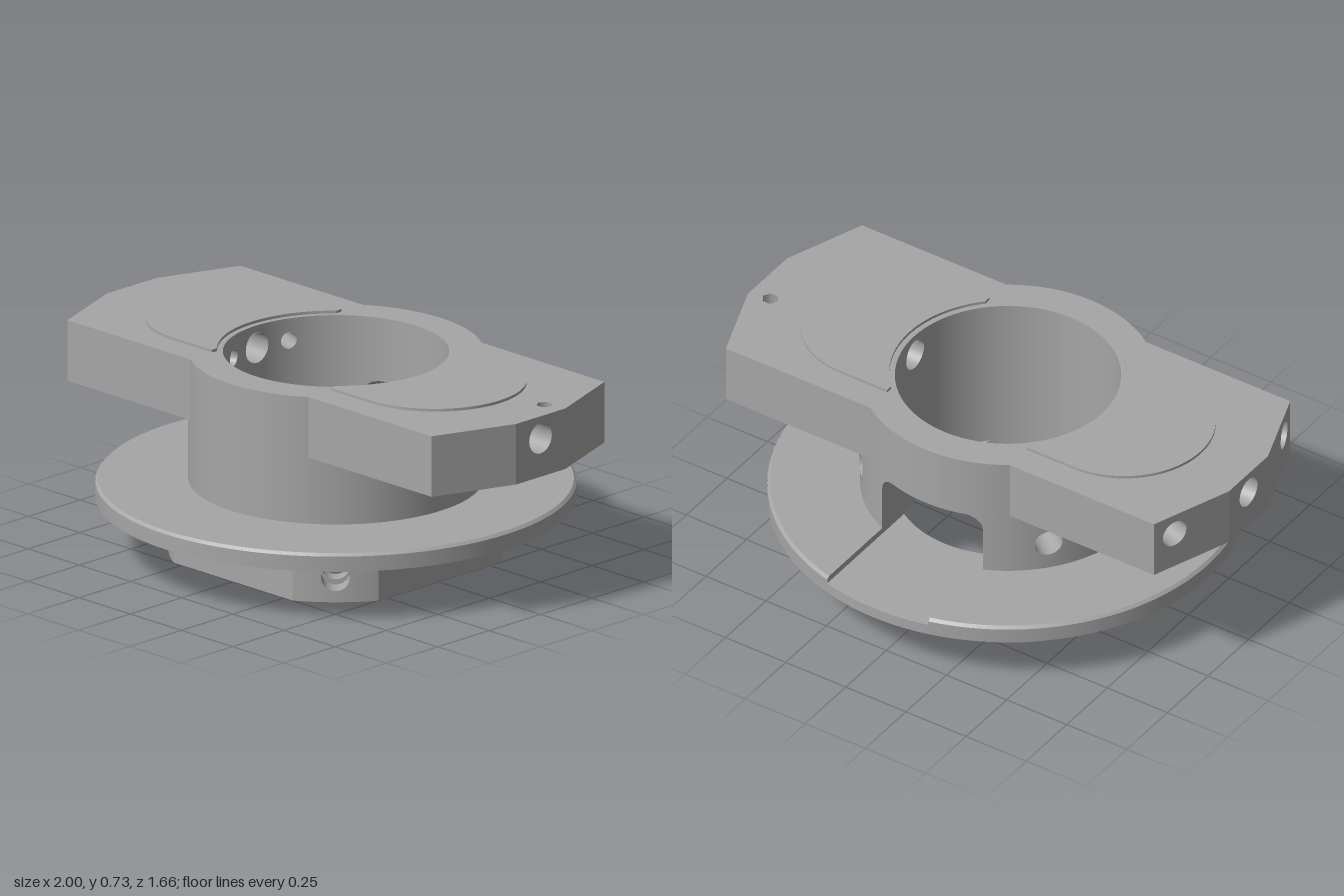
import * as THREE from 'three';

const PI = Math.PI, BACK = 1.5 * PI;
const BORE = 0.39, BODY = 0.51, RIM = 0.83, BASE = 0.578;
const SLOT = 0.21, SLOT_FLOOR = 0.235, SLOT_TOP = 0.49, FILLET = 0.06;
const PLATE_Y = 0.5, TOP_Y = 0.72, FLANGE_Y = 0.195, BODY_Y = 0.26;

const grey = new THREE.MeshStandardMaterial({ color: 0xa6a6a6, side: THREE.DoubleSide });
grey.name = 'machined grey';

// Points are (x, z); angles run from +x towards +z.
const V = (x, z) => new THREE.Vector2(x, z);
const arc = (r, a0, a1, n = 48, cx = 0) => Array.from({ length: n + 1 }, (_, i) => {
  const a = a0 + (a1 - a0) * i / n;
  return V(cx + r * Math.cos(a), r * Math.sin(a));
});
const ring = (r, n = 96) => arc(r, 0, 2 * PI, n).slice(0, -1);
const halfSlot = r => Math.asin(SLOT / r);

function add(group, name, geometry) {
  const mesh = new THREE.Mesh(geometry, grey);
  mesh.name = name;
  group.add(mesh);
  return mesh;
}

// Horizontal face, looking up or down
function face(points, holes, y, up) {
  const shape = new THREE.Shape(points);
  holes.forEach(h => shape.holes.push(new THREE.Path(h)));
  const g = new THREE.ShapeGeometry(shape).rotateX(PI / 2).translate(0, y, 0);
  if (up) {
    g.index.array.reverse();
    g.computeVertexNormals();
  }
  return g;
}

// Paths for upright walls: u -> [x, z, normal x, normal z]
const round = (r, side = 1) => u => {
  const c = Math.cos(u / r), s = Math.sin(u / r);
  return [r * c, r * s, side * c, side * s];
};
const straight = (p, q) => {
  const d = q.clone().sub(p).normalize();
  return u => [p.x + d.x * u, p.y + d.y * u, -d.y, d.x];
};

// Openings in walls
const drill = (u, y, r) => {
  const h = v => Math.sqrt(Math.max(0, r * r - (v - u) ** 2));
  return { u, w: r, lo: v => y - h(v), hi: v => y + h(v) };
};
const drillAt = (R, angle, y, r) => drill(R * (angle < PI / 2 ? angle + 2 * PI : angle), y, r);
const slotRoof = x => SLOT_TOP - FILLET + Math.sqrt(Math.max(0, FILLET ** 2 - Math.max(0, Math.abs(x) - SLOT + FILLET) ** 2));
const slotAt = R => ({
  u: R * BACK, w: R * halfSlot(R), lo: () => SLOT_FLOOR, hi: u => slotRoof(R * Math.sin(u / R - BACK)),
});

// Upright wall along a path, cut into columns that stop at the openings
function wall(at, u0, u1, y0, y1, holes = [], step = 0.03) {
  const n = Math.ceil((u1 - u0) / step), cuts = [];
  for (let i = 0; i <= n; i++) cuts.push(u0 + (u1 - u0) * i / n);
  holes.forEach(h => { for (let k = 0; k <= 20; k++) cuts.push(h.u + h.w * Math.cos(PI * k / 20)); });
  cuts.sort((a, b) => a - b);
  const pos = [], nor = [];
  const clamp = y => Math.min(y1, Math.max(y0, y));
  for (let i = 0; i + 1 < cuts.length; i++) {
    const a = cuts[i], b = cuts[i + 1], m = (a + b) / 2;
    if (b - a < 1e-6) continue;
    const A = at(a), B = at(b);
    const outward = -(B[1] - A[1]) * A[2] + (B[0] - A[0]) * A[3] > 0;
    const quad = (low, high) => {
      if (high[0] - low[0] < 1e-6 && high[1] - low[1] < 1e-6) return;
      const c = [[A, low[0]], [B, low[1]], [B, high[1]], [A, high[0]]];
      for (const k of outward ? [0, 1, 2, 0, 2, 3] : [0, 2, 1, 0, 3, 2]) {
        const [p, y] = c[k];
        pos.push(p[0], y, p[1]);
        nor.push(p[2], 0, p[3]);
      }
    };
    let low = [y0, y0];
    holes.filter(h => Math.abs(m - h.u) < h.w).sort((p, q) => p.lo(m) - q.lo(m)).forEach(h => {
      quad(low, [clamp(h.lo(a)), clamp(h.lo(b))]);
      low = [clamp(h.hi(a)), clamp(h.hi(b))];
    });
    quad(low, [y1, y1]);
  }
  const g = new THREE.BufferGeometry();
  g.setAttribute('position', new THREE.Float32BufferAttribute(pos, 3));
  g.setAttribute('normal', new THREE.Float32BufferAttribute(nor, 3));
  return g;
}
const roundWall = (r, a0, a1, y0, y1, holes, side) => wall(round(r, side), r * a0, r * a1, y0, y1, holes);
const flatWall = (p, q, y0, y1, holes) => wall(straight(p, q), 0, p.distanceTo(q), y0, y1, holes, 9);

// Lining of a radial drilled hole
const lining = (group, name, r, r0, r1, y, angle) => add(group, name,
  new THREE.CylinderGeometry(r, r, r1 - r0, 32, 1, true).rotateZ(PI / 2).translate((r0 + r1) / 2, y, 0).rotateY(-angle));

// Strip ruled between two equally long rows of [x, y, z]
function strip(rowA, rowB) {
  const pos = [];
  for (let i = 0; i + 1 < rowA.length; i++)
    pos.push(...rowA[i], ...rowB[i], ...rowB[i + 1], ...rowA[i], ...rowB[i + 1], ...rowA[i + 1]);
  const g = new THREE.BufferGeometry();
  g.setAttribute('position', new THREE.Float32BufferAttribute(pos, 3));
  g.computeVertexNormals();
  return g;
}

export function createModel() {
  const model = new THREE.Group();
  model.name = 'flanged collar';
  const part = name => {
    const g = new THREE.Group();
    g.name = name;
    model.add(g);
    return g;
  };
  const quarters = [0, 1, 2, 3].map(k => k * PI / 2);
  const tilt = Math.atan2(0.11, 0.3);
  const sideAngles = [BACK - PI * 5 / 18, BACK + PI * 5 / 18];
  const obliqueAngles = [PI - tilt, PI + tilt];

  // Top plate with two wings
  const plate = part('topPlate');
  const c = Math.asin(0.42 / BODY), hx = BODY * Math.cos(c);
  const wing = [V(hx, 0.42), V(0.89, 0.42), V(1, 0.12), V(1, -0.12), V(0.89, -0.42), V(hx, -0.42)];
  const wingLeft = wing.map(p => V(-p.x, -p.y));
  const hex = ring(0.03, 6).map(p => V(p.x + 0.92, p.y - 0.1));
  const outline = [...wing, ...arc(BODY, -c, c - PI).slice(1), ...wingLeft.slice(1), ...arc(BODY, PI - c, c).slice(1, -1)];
  add(plate, 'plateTop', face(outline, [ring(BORE), hex], TOP_Y, true));
  [wing, wingLeft].forEach((w, k) => {
    add(plate, 'wingUnderside', face([...w, ...arc(BODY, k * PI - c, k * PI + c).slice(1, -1)], [], PLATE_Y, false));
    for (let i = 0; i < 5; i++) {
      const length = w[i].distanceTo(w[i + 1]), holes = [];
      if (i === 2) holes.push(drill(length / 2, 0.64, 0.055));
      if (k === 1 && i === 1) holes.push(drill(0.088, 0.64, 0.05));
      if (k === 1 && i === 3) holes.push(drill(length - 0.088, 0.64, 0.05));
      add(plate, 'wingSide', flatWall(w[i], w[i + 1], PLATE_Y, TOP_Y, holes));
    }
    lining(plate, 'endHole', 0.055, 0.387, 1, 0.64, k * PI);
    add(plate, 'plateBulge', roundWall(BODY, k * PI + c, k * PI + PI - c, PLATE_Y, TOP_Y));
  });
  // Stepped oblique holes
  obliqueAngles.forEach(a => {
    lining(plate, 'obliqueHole', 0.05, 0.6, 0.98, 0.64, a);
    lining(plate, 'obliquePilot', 0.03, 0.389, 0.6, 0.64, a);
    add(plate, 'obliqueStep', new THREE.RingGeometry(0.03, 0.05, 32).rotateY(PI / 2).translate(0.6, 0.64, 0).rotateY(-a));
  });
  // Hexagonal pocket
  add(plate, 'hexPocket', new THREE.CylinderGeometry(0.03, 0.03, 0.12, 6, 1, true).rotateY(PI / 6).translate(0.92, TOP_Y - 0.06, -0.1));
  add(plate, 'hexPocketFloor', face(hex, [], TOP_Y - 0.12, true));

  // Raised pads
  const padShape = new THREE.Shape([V(0.29, 0.315), ...arc(0.315, PI / 2, -PI / 2, 48, 0.485), V(0.29, -0.315), ...arc(0.41, -PI / 4, PI / 4, 32)]);
  for (const turn of [0, PI])
    add(model, 'raisedPad', new THREE.ExtrudeGeometry(padShape, { depth: 0.01, bevelEnabled: false })
      .rotateX(PI / 2).translate(0, TOP_Y + 0.01, 0).rotateY(turn));

  // Barrel and bore
  const barrel = part('barrel');
  add(barrel, 'barrelWall', roundWall(BODY, PI / 2, 2.5 * PI, BODY_Y, PLATE_Y,
    [slotAt(BODY), ...sideAngles.map(a => drillAt(BODY, a, 0.365, 0.05))]));
  add(barrel, 'bore', roundWall(BORE, PI / 2, 2.5 * PI, 0, TOP_Y, [
    slotAt(BORE),
    ...sideAngles.map(a => drillAt(BORE, a, 0.365, 0.05)),
    ...quarters.map(a => drillAt(BORE, a + PI / 4, 0.09, 0.05)),
    ...[0, PI].map(a => drillAt(BORE, a, 0.64, 0.055)),
    ...obliqueAngles.map(a => drillAt(BORE, a, 0.64, 0.03)),
  ], -1));
  sideAngles.forEach(a => lining(barrel, 'sideHole', 0.05, 0.388, 0.509, 0.365, a));
  // Rear slot lining: sides and rounded roof
  const profile = [[-SLOT, SLOT_FLOOR]];
  for (let i = 0; i <= 60; i++) {
    const x = -SLOT * Math.cos(PI * i / 60);
    profile.push([x, slotRoof(x)]);
  }
  profile.push([SLOT, SLOT_FLOOR]);
  const onCircle = r => profile.map(([x, y]) => [x, y, -Math.sqrt(r * r - x * x)]);
  add(barrel, 'slotLining', strip(onCircle(BORE), onCircle(BODY)));

  // Flange with rear notch
  const flange = part('flange');
  const around = r => arc(r, BACK + halfSlot(r), BACK + 2 * PI - halfSlot(r), 96);
  const across = r => arc(r, BACK - halfSlot(r), BACK + halfSlot(r), 24);
  add(flange, 'flangeTop', face([...around(0.82), ...around(BODY).reverse()], [], BODY_Y, true));
  add(flange, 'notchFloor', face([...across(RIM), ...across(BORE).reverse()], [], SLOT_FLOOR, true));
  const d = halfSlot(RIM);
  add(flange, 'flangeRim', roundWall(RIM, PI / 2, 2.5 * PI, FLANGE_Y, 0.25,
    [{ u: RIM * BACK, w: RIM * d, lo: () => SLOT_FLOOR, hi: () => 1 }]));
  add(flange, 'rimChamfer', new THREE.LatheGeometry([V(RIM, 0.25), V(0.82, BODY_Y)], 96, PI + d, 2 * PI - 2 * d));
  for (const x of [-SLOT, SLOT]) {
    const ends = [V(x, -0.465), V(x, -0.802)];
    if (x < 0) ends.reverse();
    add(flange, 'notchSide', flatWall(ends[1], ends[0], SLOT_FLOOR, BODY_Y - 0.001));
  }

  // Base: a disc with four flats
  const base = part('base');
  const f = Math.acos(0.5 / BASE);
  const corner = a => arc(BASE, a + f, a + PI / 2 - f, 16);
  const footprint = quarters.flatMap(corner);
  add(flange, 'flangeUnderside', face(ring(RIM), [footprint], FLANGE_Y, false));
  // Pocket rectangle at each corner, along radius and tangent
  const R0 = 0.447, R1 = 0.503, HALF = 0.08, DEEP = 0.15;
  const pockets = quarters.map(q => [V(R0, -HALF), V(R1, -HALF), V(R1, HALF), V(R0, HALF)]
    .map(p => p.rotateAround(V(0, 0), q + PI / 4)));
  add(base, 'baseUnderside', face(footprint, [ring(BORE), ...pockets], 0, false));
  quarters.forEach((q, k) => {
    const mid = q + PI / 4, p = pockets[k];
    add(base, 'baseFlat', flatWall(...arc(BASE, q + f, q - f, 1), 0, FLANGE_Y));
    add(base, 'baseCorner', roundWall(BASE, q + f, q + PI / 2 - f, 0, FLANGE_Y, [drill(BASE * mid, 0.09, 0.05)]));
    lining(base, 'baseHoleInner', 0.05, 0.388, R0, 0.09, mid);
    lining(base, 'baseHoleOuter', 0.05, R1, 0.577, 0.09, mid);
    for (let i = 0; i < 4; i++)
      add(base, 'pocketSide', flatWall(p[i], p[(i + 1) % 4], 0, DEEP, i % 2 ? [drill(HALF, 0.09, 0.05)] : []));
    add(base, 'pocketRoof', face(p, [], DEEP, false));
  });
  return model;
}
